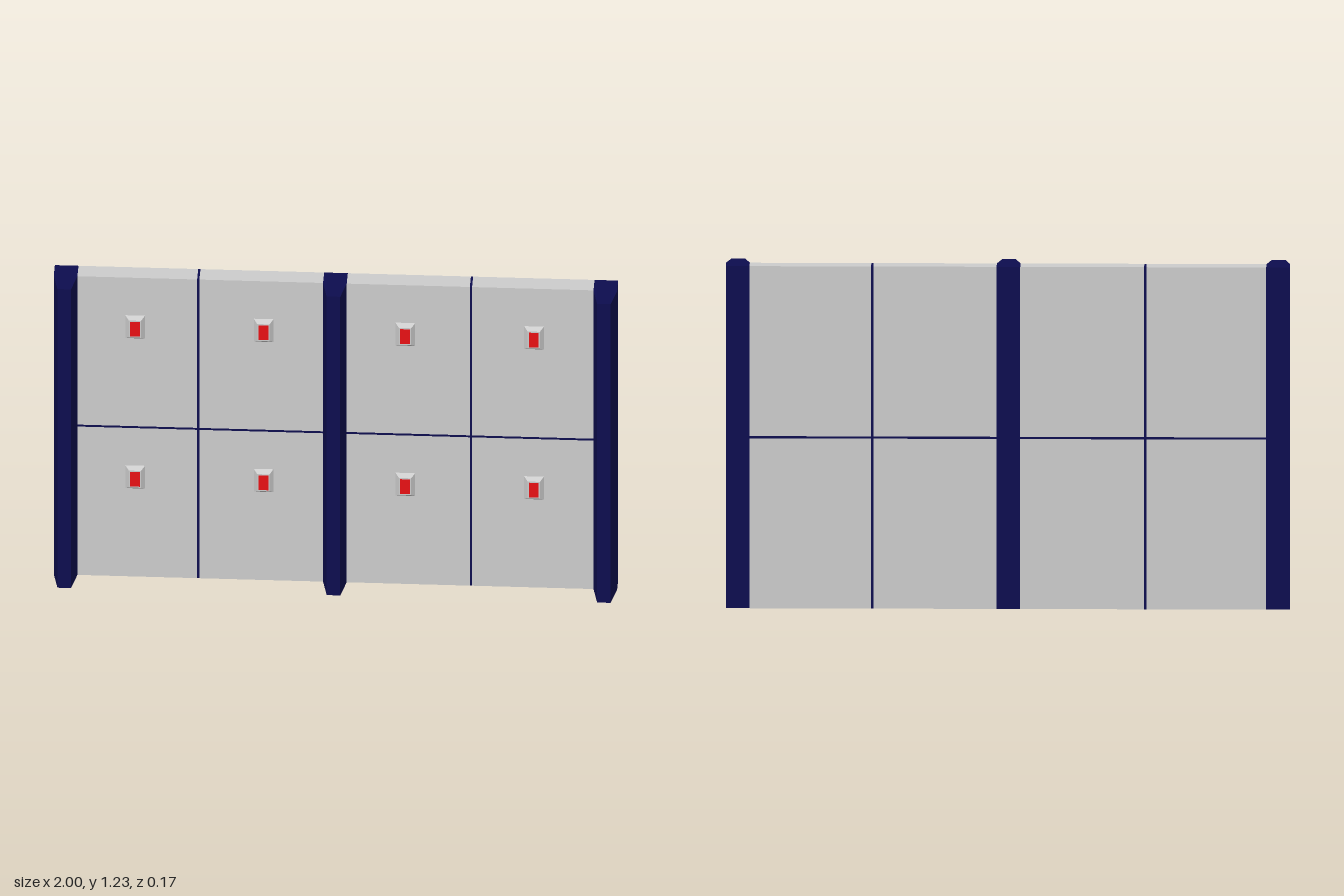
import * as THREE from 'three';

const HEIGHT = 1.23, BACK = -0.083, FACE = -0.01, FRONT = 0.083, SEAM = 0.008;

const grey = new THREE.MeshStandardMaterial({ color: 0xcccccc, flatShading: true });
const navy = new THREE.MeshStandardMaterial({ color: 0x0d0d4f, flatShading: true });
const red = new THREE.MeshStandardMaterial({ color: 0xe81014, flatShading: true });

export function createModel() {
  const model = new THREE.Group();

  const add = (name, geometry, material, parent = model) => {
    const mesh = new THREE.Mesh(geometry, material);
    mesh.name = name;
    parent.add(mesh);
    return mesh;
  };

  // Box spanning the wall thickness between two corners
  const slab = (name, x0, x1, y0, y1, material) => {
    const box = new THREE.BoxGeometry(x1 - x0, y1 - y0, FACE - BACK);
    add(name, box, material).position.set((x0 + x1) / 2, (y0 + y1) / 2, (BACK + FACE) / 2);
  };

  // Upright posts, tapering toward the front
  const profile = new THREE.Shape([
    [-0.042, -FRONT + 0.003], [-0.042, -FACE], [-0.042, -BACK],
    [0.042, -BACK], [0.042, -FACE], [0.024, -FRONT], [-0.024, -FRONT],
  ].slice(1).map(([x, y]) => new THREE.Vector2(x, y)));
  const postGeometry = new THREE.ExtrudeGeometry(profile, { depth: HEIGHT, bevelEnabled: false });
  postGeometry.rotateX(-Math.PI / 2);
  for (const [name, x] of [['rightPost', -0.958], ['middlePost', -0.002], ['leftPost', 0.958]]) {
    add(name, postGeometry, navy).position.x = x;
  }

  // Two bays, each of four panels divided by thin dark seams
  const mid = HEIGHT / 2, h = SEAM / 2;
  for (const [x0, seamX, x1] of [[-0.916, -0.487, -0.044], [0.04, 0.481, 0.916]]) {
    for (const [a, b] of [[x0, seamX - h], [seamX + h, x1]]) {
      slab('lowerPanel', a, b, 0, mid - h, grey);
      slab('upperPanel', a, b, mid + h, HEIGHT, grey);
      slab('horizontalSeam', a, b, mid - h, mid + h, navy);
    }
    slab('verticalSeam', seamX - h, seamX + h, 0, HEIGHT, navy);
  }

  // Bevelled lamp housing: a box whose front face is narrowed
  const housing = new THREE.BoxGeometry(0.07, 0.094, 0.016);
  const p = housing.attributes.position;
  for (let i = 0; i < p.count; i++) {
    if (p.getZ(i) > 0) p.setXY(i, p.getX(i) * 0.62, p.getY(i) * 0.74);
  }
  housing.computeVertexNormals();
  const lens = new THREE.BoxGeometry(0.035, 0.06, 0.002);

  // One lamp on every panel
  for (const y of [0.41, 1.028]) {
    for (const x of [-0.711, -0.255, 0.248, 0.705]) {
      const lamp = new THREE.Group();
      lamp.name = 'lamp';
      lamp.position.set(x, y, FACE + 0.008);
      add('lampHousing', housing, grey, lamp);
      add('lampLens', lens, red, lamp).position.z = 0.008;
      model.add(lamp);
    }
  }

  return model;
}
